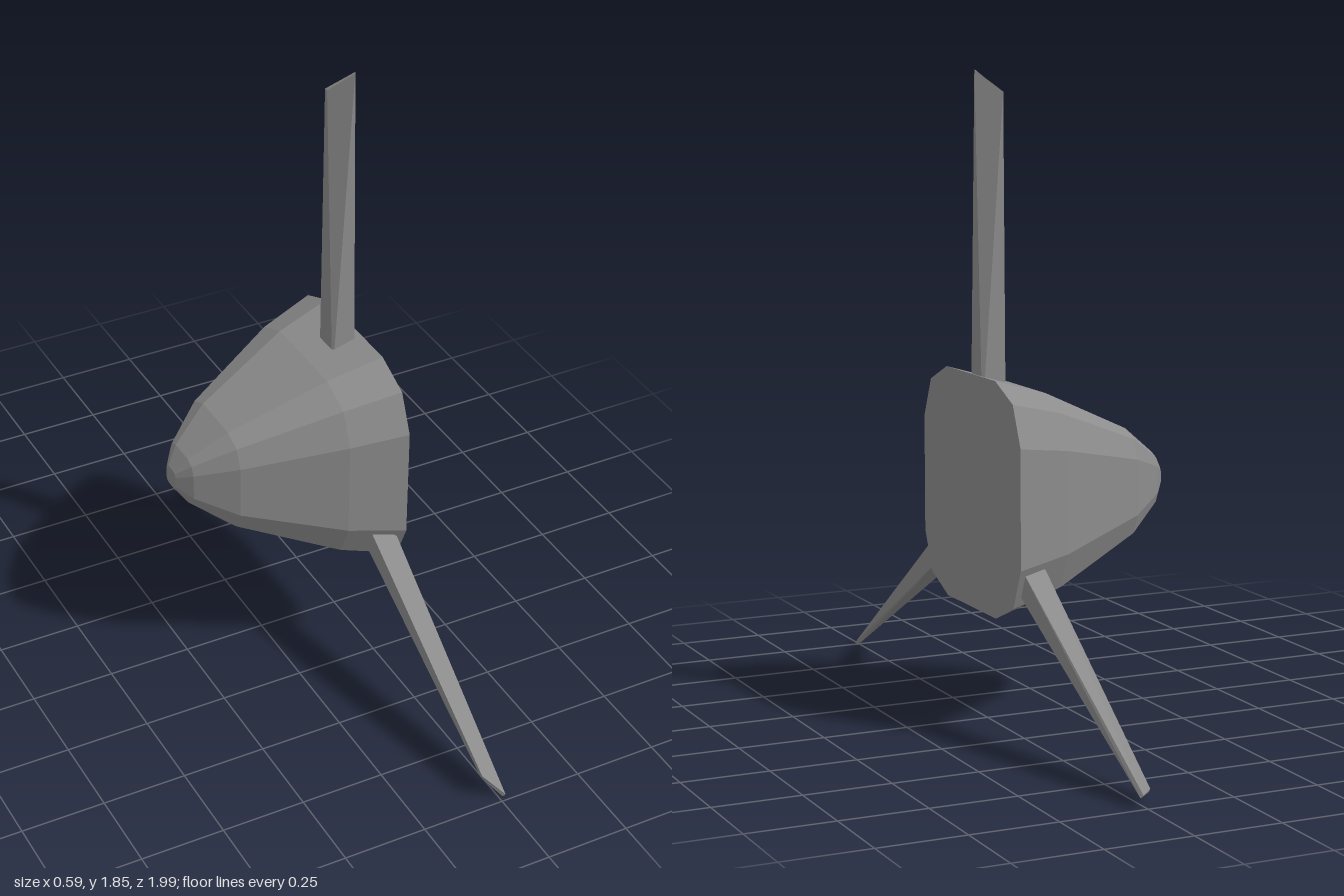
import * as THREE from 'three';

const CENTRE_Y = 0.667, CENTRE_Z = 0.008;

// Spinner: a rounded-square section scaled along x, closed at both ends
function spinnerGeometry() {
  const section = [];
  const quarter = [[1, 0.505], [0.85, 0.85], [0.505, 1]];
  for (let q = 0; q < 4; q++) {
    for (const [y, z] of quarter) {
      let p = [y, z];
      for (let k = 0; k < q; k++) p = [-p[1], p[0]];
      section.push(p);
    }
  }
  const profile = [[-0.295, 0.03], [-0.26, 0.077], [-0.152, 0.16], [0.13, 0.288], [0.295, 0.335]];
  const n = section.length;
  const positions = [], index = [];
  for (const [x, r] of profile) {
    for (const [y, z] of section) positions.push(x, y * r, z * r);
  }
  for (let k = 0; k < profile.length - 1; k++) {
    for (let i = 0; i < n; i++) {
      const j = (i + 1) % n, a = k * n, b = a + n;
      index.push(a + i, a + j, b + i, a + j, b + j, b + i);
    }
  }
  const last = (profile.length - 1) * n;
  for (let i = 1; i < n - 1; i++) {
    index.push(0, i + 1, i);
    index.push(last, last + i, last + i + 1);
  }
  const geometry = new THREE.BufferGeometry();
  geometry.setAttribute('position', new THREE.Float32BufferAttribute(positions, 3));
  geometry.setIndex(index);
  const flat = geometry.toNonIndexed();
  flat.computeVertexNormals();
  return flat;
}

// Blade: square root narrowing to a thin, slanted diagonal tip
function bladeGeometry(length) {
  const box = new THREE.BoxGeometry(1, 1, 1).toNonIndexed();
  const p = box.attributes.position;
  for (let i = 0; i < p.count; i++) {
    const right = p.getX(i) > 0, tip = p.getY(i) > 0, front = p.getZ(i) > 0;
    if (!tip) {
      p.setXYZ(i, right ? 0.275 : 0.203, 0.25, front ? 0.042 : -0.036);
    } else if (right) {
      p.setXYZ(i, front ? 0.262 : 0.268, length, front ? 0.034 : 0.024);
    } else {
      p.setXYZ(i, 0.203, length - 0.06, front ? -0.015 : -0.027);
    }
  }
  box.computeVertexNormals();
  return box;
}

export function createModel() {
  const model = new THREE.Group();
  model.name = 'propeller';
  const grey = new THREE.MeshStandardMaterial({ color: 0x8c8c8c, flatShading: true });
  grey.name = 'grey metal';

  const spinner = new THREE.Mesh(spinnerGeometry(), grey);
  spinner.name = 'spinner';
  spinner.position.set(0, CENTRE_Y, CENTRE_Z);
  model.add(spinner);

  // Three blades around the x axis: name, angle in degrees, tip radius
  const blades = [['topBlade', 0, 1.22], ['frontBlade', 121, 1.158], ['rearBlade', -122, 1.165]];
  for (const [name, angle, length] of blades) {
    const blade = new THREE.Mesh(bladeGeometry(length), grey);
    blade.name = name;
    blade.position.set(0, 0.63, CENTRE_Z);
    blade.rotation.x = THREE.MathUtils.degToRad(angle);
    model.add(blade);
  }
  return model;
}
